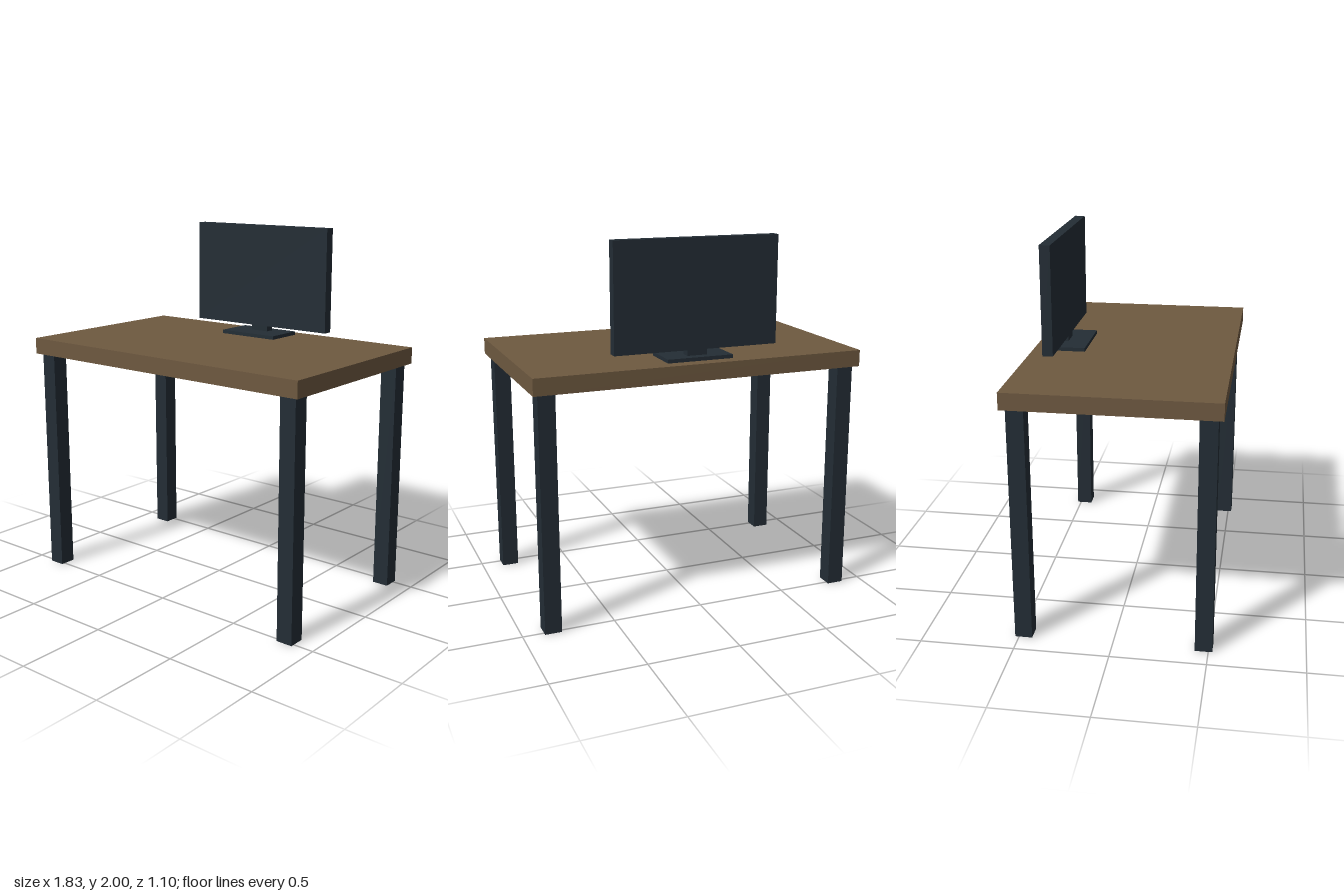
import * as THREE from 'three';

export function createModel() {
  const model = new THREE.Group();
  model.name = 'deskWithMonitor';

  const wood = new THREE.MeshStandardMaterial({ color: 0x6e5940 });
  wood.name = 'brown wood';
  const dark = new THREE.MeshStandardMaterial({ color: 0x232d35 });
  dark.name = 'dark slate';

  // Box given by its lower and upper corners
  function box(name, material, [x0, y0, z0], [x1, y1, z1], parent = model) {
    const mesh = new THREE.Mesh(new THREE.BoxGeometry(x1 - x0, y1 - y0, z1 - z0), material);
    mesh.position.set((x0 + x1) / 2, (y0 + y1) / 2, (z0 + z1) / 2);
    mesh.name = name;
    parent.add(mesh);
    return mesh;
  }

  // Table top
  box('tableTop', wood, [-0.913, 1.28, -0.548], [0.913, 1.37, 0.548]);

  // Four square legs, set in slightly from the corners
  const legSize = 0.091, legX = 0.84, legZ = 0.475;
  for (const [side, sx] of [['Left', 1], ['Right', -1]]) {
    for (const [end, sz] of [['front', 1], ['back', -1]]) {
      const x = sx * legX, z = sz * legZ, h = legSize / 2;
      box(`${end}${side}Leg`, dark, [x - h, 0, z - h], [x + h, 1.28, z + h]);
    }
  }

  // Monitor: foot plate, short neck and flat screen
  const monitor = new THREE.Group();
  monitor.name = 'monitor';
  model.add(monitor);
  box('monitorFoot', dark, [-0.183, 1.37, -0.477], [0.183, 1.39, -0.26], monitor);
  box('monitorNeck', dark, [-0.055, 1.39, -0.428], [0.055, 1.42, -0.376], monitor);
  box('monitorScreen', dark, [-0.457, 1.42, -0.43], [0.457, 2, -0.374], monitor);

  return model;
}
